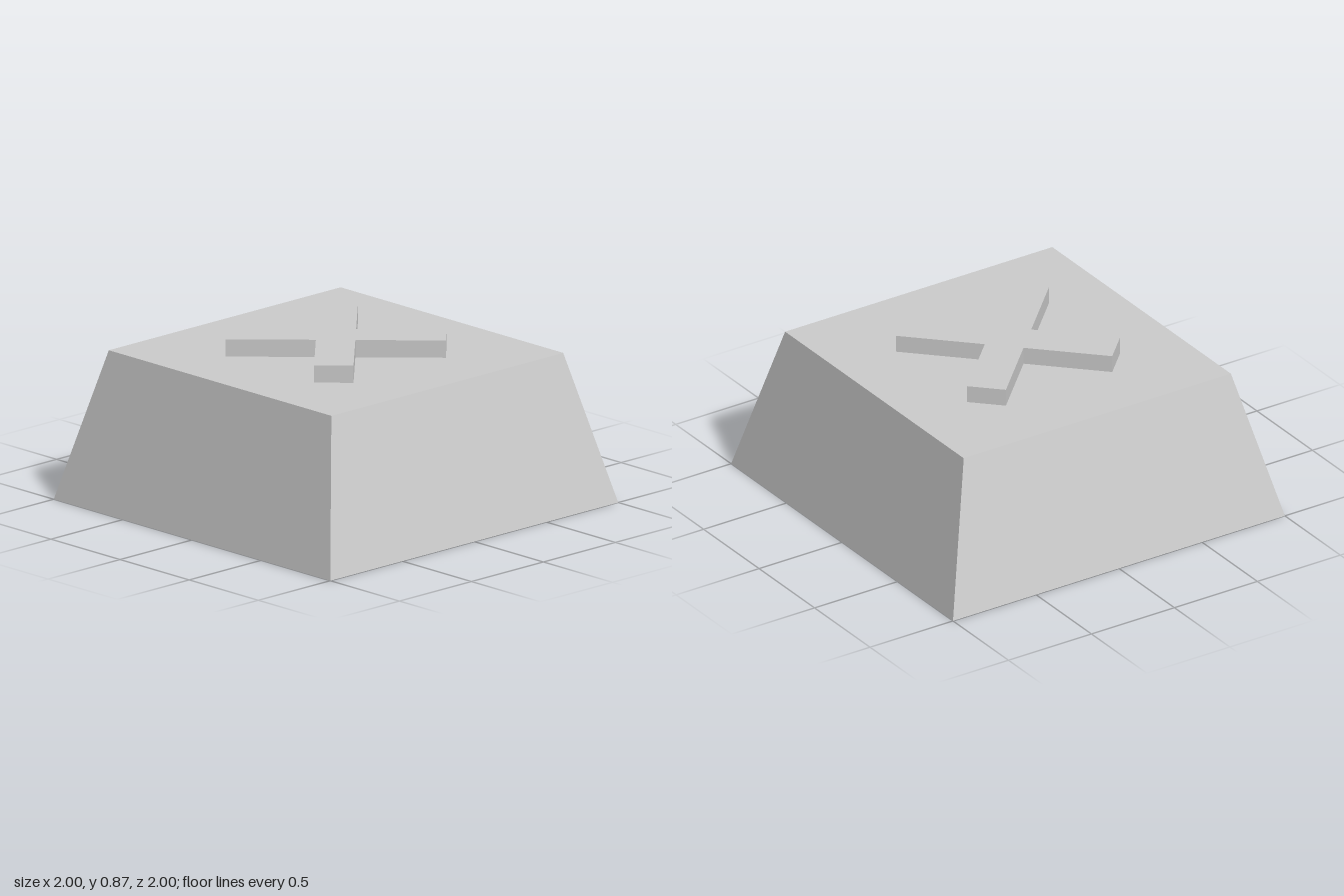
import * as THREE from 'three';
import { toCreasedNormals } from 'three/addons/utils/BufferGeometryUtils.js';

const TOP = 0.78, CEILING = 0.64, STEM_BOTTOM = 0.175;

// Corner points of a plus with arm half-length l and half-width w
function plusPoints(l, w) {
  const points = [];
  for (let i = 0; i < 4; i++) {
    for (const [x, y] of [[l, -w], [l, w], [w, w]]) {
      points.push(new THREE.Vector2(x, y).rotateAround(new THREE.Vector2(), i * Math.PI / 2));
    }
  }
  return points;
}

// Extrude a ground-plan shape upward from y0 to y1
function extrudeUp(shape, y0, y1) {
  const geometry = new THREE.ExtrudeGeometry(shape, { depth: y1 - y0, bevelEnabled: false, curveSegments: 48 });
  geometry.rotateX(-Math.PI / 2).translate(0, y0, 0);
  return toCreasedNormals(geometry, 0.5);
}

export function createModel() {
  const group = new THREE.Group();
  const grey = new THREE.MeshStandardMaterial({ color: 0xcccccc });
  grey.name = 'light grey';

  const add = (name, geometry) => {
    const mesh = new THREE.Mesh(geometry, grey);
    mesh.name = name;
    group.add(mesh);
    return mesh;
  };

  // Hollow tapered cap: four-sided lathe, from the ceiling over the rim to the top
  const profile = [[0, CEILING], [0.68, CEILING], [0.84, 0], [1, 0], [0.805, TOP], [0, TOP]]
    .map(([half, y]) => new THREE.Vector2(half * Math.SQRT2, y));
  add('capShell', toCreasedNormals(new THREE.LatheGeometry(profile, 4, Math.PI / 4), 0.5));

  // Raised diagonal cross on the top face
  const cross = add('raisedCross', extrudeUp(new THREE.Shape(plusPoints(0.552, 0.099)), TOP, 0.87));
  cross.rotation.y = Math.PI / 4;

  // Round stem under the ceiling with a plus-shaped socket
  const stem = new THREE.Shape().absarc(0, 0, 0.305, 0, Math.PI * 2);
  stem.holes.push(new THREE.Path(plusPoints(0.235, 0.07)));
  add('stem', extrudeUp(stem, STEM_BOTTOM, CEILING));

  return group;
}
